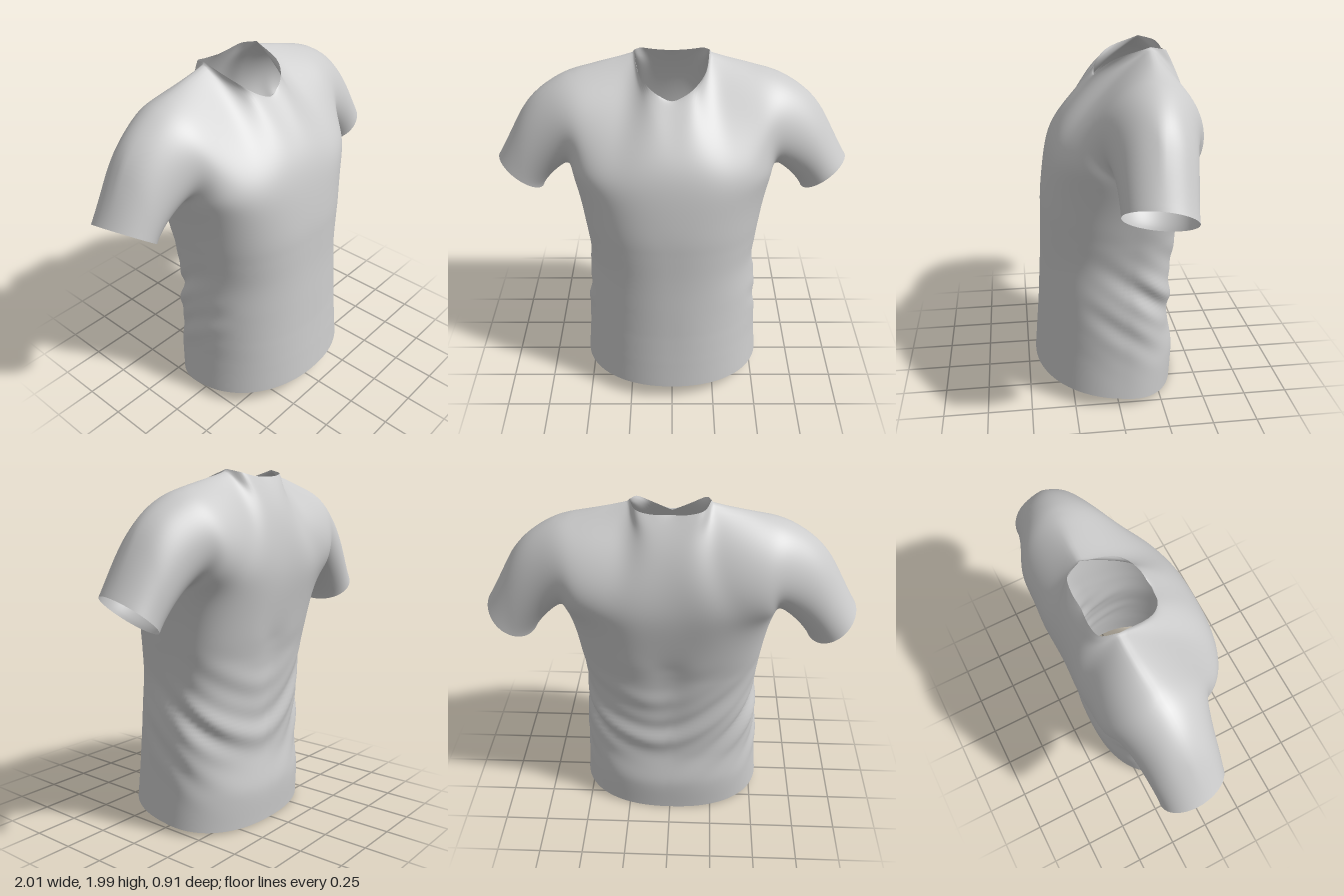
import * as THREE from 'three';
import { mergeVertices } from 'three/addons/utils/BufferGeometryUtils.js';

const QUARTER = 40;   // columns from the centre line to the side
const ROWS = 30;      // rows from underarm to shoulder
const NECK = 0.35;    // share of a panel's top edge that is neckline

const V = (x, y, z) => new THREE.Vector3(x, y, z);
const curve = (pts) => new THREE.CatmullRomCurve3(pts.map((p) => (p.isVector3 ? p : V(...p))));
const smooth = (t) => THREE.MathUtils.smoothstep(t, 0, 1);
const { lerp } = THREE.MathUtils;

// Torso profile at even heights, hem to underarm: half width, front z, back z
const profile = curve([
  [0.54, 0.455, -0.37], [0.525, 0.44, -0.378], [0.515, 0.425, -0.348], [0.5, 0.415, -0.35],
  [0.487, 0.405, -0.36], [0.505, 0.4, -0.38], [0.535, 0.395, -0.42], [0.58, 0.37, -0.458],
]);

// Soft folds: drapes falling from the sides to the lower back, faint ones in front
function folds(x, y, z, a) {
  const back = smooth((a / Math.PI - 0.3) / 0.35);
  const band = Math.exp(-(((y - 0.62) / 0.24) ** 2));
  const v = y - 0.55 * Math.hypot(x, 0.12) - 0.8 * z + 0.12 * x;
  const drape = 0.02 * Math.sin(20 * v) + 0.014 * Math.sin(37 * v + 5 * x);
  return band * (back * drape + (1 - back) * 0.015 * Math.sin(9 * Math.abs(x) + 5 * y) * Math.abs(x));
}

// Point on the torso ring: t from hem to underarm, a from front (0) to back (PI)
function ring(t, a, side = 1) {
  const p = profile.getPoint(t);
  const sideZ = lerp(-0.02, -0.12, t);
  const s = Math.abs(Math.sin(a)), c = Math.abs(Math.cos(a));
  const front = a <= Math.PI / 2;
  const n = front ? 2.15 + 0.4 * t : 2.3 + 0.2 * t;
  const x = p.x * s ** (2 / n);
  let dz = ((front ? p.y : p.z) - sideZ) * c ** (2 / n);
  if (!front) dz += 0.03 * t * t * Math.exp(-((x / 0.11) ** 2)) * c;
  const y = lerp(0.047 + 0.125 * (sideZ + dz) - 0.01 * c, 1.37, t);
  const k = 1 + folds(x * side, y, sideZ + dz, a) * 1.4 * (1 - t ** 6);
  return V(x * k, y, sideZ + dz * k);
}

// Edge curves of the upper panels (wearer's left half)
const under = ring(1, Math.PI / 2);
const neckSide = [0.205, 1.985, -0.2], shoulder = [0.56, 1.905, -0.17];
const seam = curve([neckSide, [0.3, 1.957, -0.195], [0.43, 1.93, -0.185], shoulder]);
const panels = {
  front: {
    angle: (s) => (s * Math.PI) / 2,
    centre: curve([ring(1, 0), [0, 1.5, 0.332], [0, 1.6, 0.262], [0, 1.7, 0.17], [0, 1.8, 0.08]]),
    armhole: curve([under, [0.56, 1.42, 0.03], [0.545, 1.55, 0.11], [0.545, 1.7, 0.09], [0.55, 1.84, -0.02], shoulder]),
    neck: curve([[0, 1.8, 0.08], [0.1, 1.853, 0.06], [0.175, 1.92, -0.015], neckSide]),
  },
  back: {
    angle: (s) => Math.PI - (s * Math.PI) / 2,
    centre: curve([ring(1, Math.PI), [0, 1.5, -0.432], [0, 1.65, -0.418], [0, 1.8, -0.375], [0, 1.945, -0.295]]),
    armhole: curve([under, [0.565, 1.42, -0.29], [0.545, 1.55, -0.405], [0.545, 1.7, -0.4], [0.555, 1.84, -0.31], shoulder]),
    neck: curve([[0, 1.945, -0.295], [0.1, 1.95, -0.3], [0.17, 1.965, -0.283], neckSide]),
  },
};

// Panel surface blended from its four edges: s from centre to armhole, v upward
function panelPoint({ angle, centre, armhole, neck }, s, v) {
  const top = (q) => (q <= NECK ? neck.getPoint(q / NECK) : seam.getPoint((q - NECK) / (1 - NECK)));
  const bottom = (q) => ring(1, angle(q));
  const hs = smooth(s);
  const bulge = (edge) => edge(s).sub(edge(0).lerp(edge(1), hs));
  return centre.getPoint(v).lerp(armhole.getPoint(v), hs)
    .addScaledVector(bulge(bottom), 1 - smooth(v / 0.75))
    .addScaledVector(bulge(top), smooth(v));
}

// Sleeve surface: t from armhole to cuff, w round from underarm over front, top and back
function sleevePoint(t, w) {
  const p0 = w <= 0.5 ? panels.front.armhole.getPoint(w * 2) : panels.back.armhole.getPoint(2 - w * 2);
  const c = -Math.cos(w * 2 * Math.PI), s = Math.sin(w * 2 * Math.PI);
  const p1 = V(0.88 + 0.12 * c - 0.025 * s, 1.28 + 0.098 * c + 0.02 * s, -0.14 + 0.01 * c + 0.187 * s);
  const len = p0.distanceTo(p1), up = (c + 1) / 2;
  const m0 = V(0.5 + 0.4 * up, -0.4 + 0.32 * up, -0.15 * s).multiplyScalar(len);
  const m1 = V(0.53, -0.85, 0).multiplyScalar(len);
  const t2 = t * t, t3 = t2 * t;
  return p0.multiplyScalar(2 * t3 - 3 * t2 + 1)
    .addScaledVector(m0, t3 - 2 * t2 + t)
    .addScaledVector(p1, 3 * t2 - 2 * t3)
    .addScaledVector(m1, t3 - t2);
}

// How freely a point may relax: not below the waist, near the cuffs or at the collar
const looseness = (x, y) => 0.7 * smooth((y - 1.05) / 0.2)
  * (1 - smooth((Math.abs(x) - 0.65) / 0.2))
  * (1 - 0.93 * smooth((y - 1.86) / 0.09));

// Relaxes the cloth so panels flow together; open edges stay put
function relax(geometry, rounds) {
  const pos = geometry.attributes.position, idx = geometry.index.array;
  const next = Array.from({ length: pos.count }, () => new Map());
  const link = (a, b) => next[a].set(b, (next[a].get(b) ?? 0) + 1);
  for (let i = 0; i < idx.length; i += 3) {
    for (let k = 0; k < 3; k++) {
      const a = idx[i + k], b = idx[i + ((k + 1) % 3)];
      link(a, b);
      link(b, a);
    }
  }
  const free = next.map((m, i) =>
    ([...m.values()].includes(1) ? 0 : looseness(pos.getX(i), pos.getY(i))));
  const neighbours = next.map((m) => [...m.keys()]);
  let points = next.map((_, i) => V().fromBufferAttribute(pos, i));
  for (let r = 0; r < rounds; r++) {
    points = points.map((p, i) => {
      if (!free[i]) return p;
      const mean = V(0, 0, 0);
      for (const n of neighbours[i]) mean.add(points[n]);
      return mean.divideScalar(neighbours[i].length).lerp(p, 1 - free[i]);
    });
  }
  points.forEach((p, i) => pos.setXYZ(i, p.x, p.y, p.z));
}

export function createModel() {
  const group = new THREE.Group();
  const positions = [], index = [], parts = [];

  // Adds a grid of quads, mirrored when side is -1
  function addGrid(nu, nv, point, side, inward = false) {
    const base = positions.length / 3;
    for (let j = 0; j <= nv; j++) {
      for (let i = 0; i <= nu; i++) {
        const p = point(i / nu, j / nv);
        positions.push(p.x * side, p.y, p.z);
      }
    }
    const flip = (side < 0) !== inward;
    for (let j = 0; j < nv; j++) {
      for (let i = 0; i < nu; i++) {
        const a = base + j * (nu + 1) + i, b = a + 1, d = a + nu + 1, c = d + 1;
        if (flip) index.push(a, c, b, a, d, c);
        else index.push(a, b, c, a, c, d);
      }
    }
  }
  function addPart(name, build) {
    const start = index.length;
    build();
    parts.push({ name, start, end: index.length });
  }

  const both = (fn) => [1, -1].forEach(fn);
  addPart('lowerBody', () => both((side) =>
    addGrid(QUARTER * 2, 56, (u, v) => ring(v, u * Math.PI, side), side)));
  addPart('frontChest', () => both((side) =>
    addGrid(QUARTER, ROWS, (s, v) => panelPoint(panels.front, s, v), side)));
  addPart('upperBack', () => both((side) =>
    addGrid(QUARTER, ROWS, (s, v) => panelPoint(panels.back, s, v), side, true)));
  addPart('leftSleeve', () => addGrid(24, ROWS * 2, sleevePoint, 1));
  addPart('rightSleeve', () => addGrid(24, ROWS * 2, sleevePoint, -1));

  // Weld all parts so shading runs smoothly over the seams, then share the vertices
  let cloth = new THREE.BufferGeometry();
  cloth.setAttribute('position', new THREE.Float32BufferAttribute(positions, 3));
  cloth.setIndex(index);
  cloth = mergeVertices(cloth, 1e-4);
  relax(cloth, 28);
  cloth.computeVertexNormals();
  const welded = Array.from(cloth.index.array);

  const material = new THREE.MeshStandardMaterial({ color: 0xcccccc, side: THREE.DoubleSide });
  for (const { name, start, end } of parts) {
    const geometry = new THREE.BufferGeometry();
    geometry.setAttribute('position', cloth.attributes.position);
    geometry.setAttribute('normal', cloth.attributes.normal);
    geometry.setIndex(welded.slice(start, end));
    const mesh = new THREE.Mesh(geometry, material);
    mesh.name = name;
    group.add(mesh);
  }
  return group;
}
